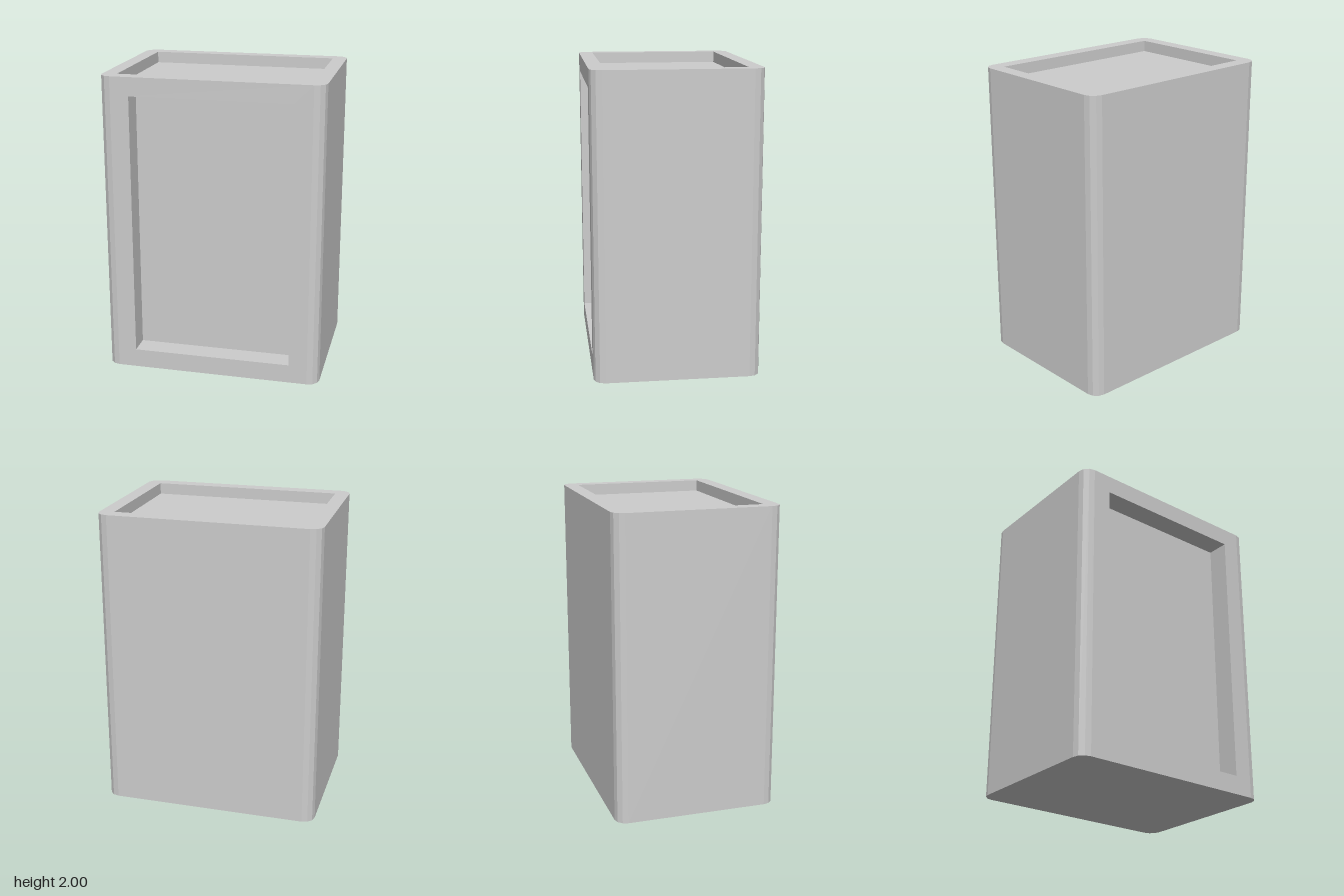
import * as THREE from 'three';
import { mergeGeometries } from 'three/addons/utils/BufferGeometryUtils.js';

const W = 0.725, D = 0.543, H = 2, R = 0.075; // half width, half depth, height, corner radius
const TOP = { x: 0.63, z: 0.446, depth: 0.075 };
const FRONT = { x: 0.527, y0: 0.125, y1: 1.877, depth: 0.15 };

// Plan outline with rounded corners in three facets each
function outline() {
  const points = [];
  for (let corner = 0; corner < 4; corner++) {
    const sx = corner === 0 || corner === 3 ? 1 : -1;
    const sy = corner < 2 ? 1 : -1;
    for (let i = 0; i <= 3; i++) {
      const a = (corner + i / 3) * Math.PI / 2;
      points.push(new THREE.Vector2(sx * (W - R) + R * Math.cos(a), sy * (D - R) + R * Math.sin(a)));
    }
  }
  return points;
}

function rectangle(x0, y0, x1, y1) {
  return [[x0, y0], [x1, y0], [x1, y1], [x0, y1]].map(([x, y]) => new THREE.Vector2(x, y));
}

function panel(points, hole) {
  const shape = new THREE.Shape(points);
  if (hole) shape.holes.push(new THREE.Path(hole));
  return new THREE.ShapeGeometry(shape);
}

// Upright walls round the outline, leaving out the flat front
function walls(points) {
  const pos = [];
  points.forEach((p, i) => {
    const q = points[(i + 1) % points.length];
    if (p.y < -D + 1e-6 && q.y < -D + 1e-6) return;
    const a = [p.x, 0, -p.y], b = [q.x, 0, -q.y], c = [q.x, H, -q.y], d = [p.x, H, -p.y];
    pos.push(...a, ...b, ...c, ...a, ...c, ...d);
  });
  return new THREE.BufferGeometry().setAttribute('position', new THREE.Float32BufferAttribute(pos, 3));
}

// Inward-facing box with one face left open
function recess(w, h, d, openFace) {
  const g = new THREE.BoxGeometry(w, h, d).scale(-1, 1, 1);
  const index = Array.from(g.index.array);
  index.splice(openFace * 6, 6);
  for (let i = 0; i < index.length; i += 3) [index[i], index[i + 1]] = [index[i + 1], index[i]];
  // Mirroring turns the winding, so keep whichever order faces the middle
  const p = g.attributes.position;
  const [a, b, c] = index.slice(0, 3).map(i => new THREE.Vector3().fromBufferAttribute(p, i));
  const normal = b.clone().sub(a).cross(c.clone().sub(a));
  if (normal.dot(a) > 0) {
    for (let i = 0; i < index.length; i += 3) [index[i], index[i + 1]] = [index[i + 1], index[i]];
  }
  g.setIndex(index);
  g.clearGroups();
  g.computeVertexNormals();
  return g;
}

export function createModel() {
  const group = new THREE.Group();
  const grey = new THREE.MeshStandardMaterial({ color: 0xcccccc });
  grey.name = 'grey';
  const add = (name, geometry) => {
    const mesh = new THREE.Mesh(geometry, grey);
    mesh.name = name;
    group.add(mesh);
    return mesh;
  };

  // Casing: walls, base, top rim and front frame
  const plan = outline();
  const parts = [
    walls(plan),
    panel(plan).rotateX(Math.PI / 2),
    panel(plan, rectangle(-TOP.x, -TOP.z, TOP.x, TOP.z)).rotateX(-Math.PI / 2).translate(0, H, 0),
    panel(rectangle(-W + R, 0, W - R, H), rectangle(-FRONT.x, FRONT.y0, FRONT.x, FRONT.y1)).translate(0, 0, D),
  ].map(g => {
    const flat = g.index ? g.toNonIndexed() : g;
    flat.deleteAttribute('uv');
    flat.computeVertexNormals();
    return flat;
  });
  add('casing', mergeGeometries(parts));

  // Sunken top tray and front panel
  add('topRecess', recess(TOP.x * 2, TOP.depth, TOP.z * 2, 2)).position.y = H - TOP.depth / 2;
  add('frontRecess', recess(FRONT.x * 2, FRONT.y1 - FRONT.y0, FRONT.depth, 4))
    .position.set(0, (FRONT.y0 + FRONT.y1) / 2, D - FRONT.depth / 2);

  return group;
}
